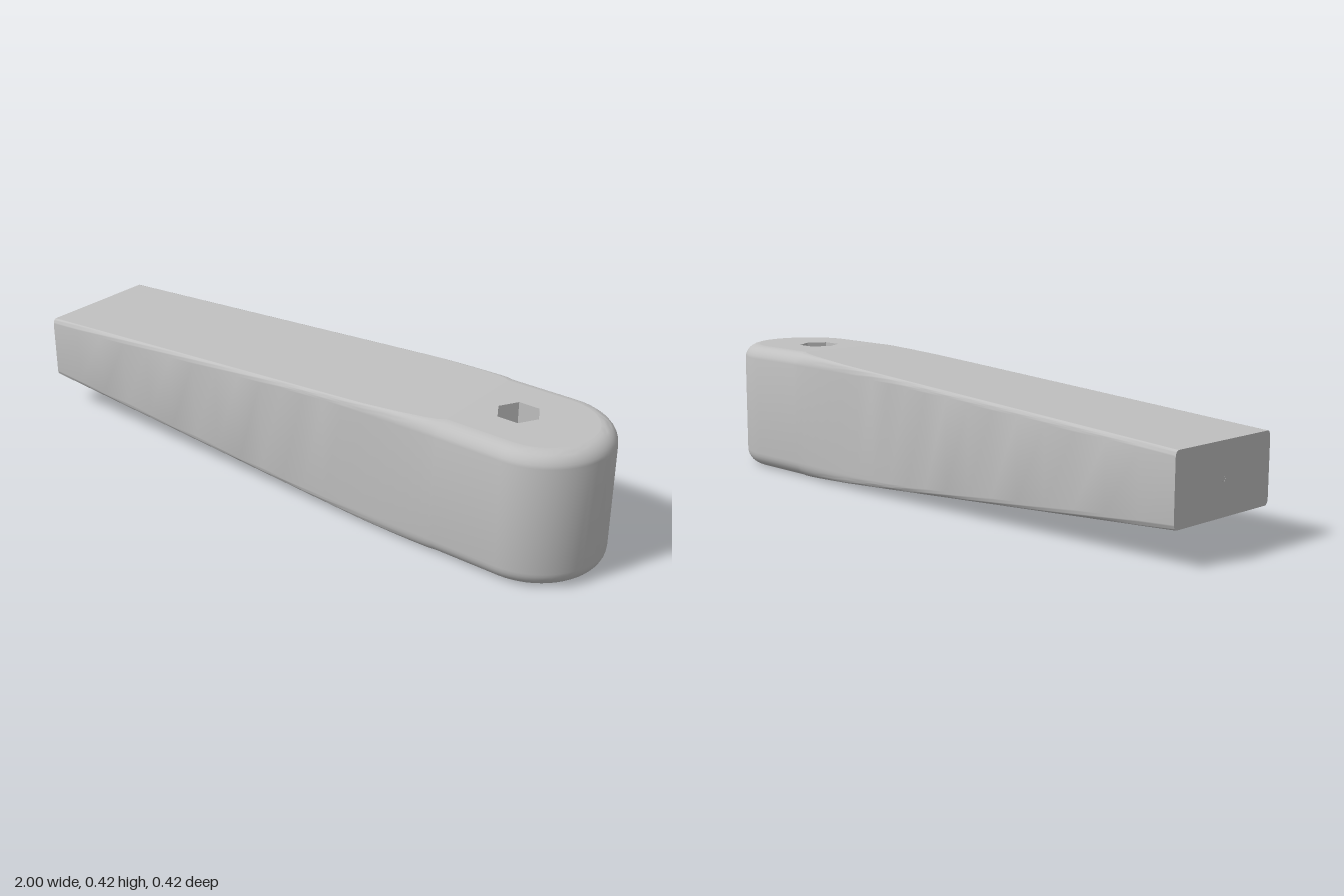
import * as THREE from 'three';
import { toCreasedNormals } from 'three/addons/utils/BufferGeometryUtils.js';

const HALF = 0.21;      // half width and half height of the thick end
const FILLET = 0.05;
const FLAT_X = 0.58;    // the taper runs from here to x = -1
const ROUND_X = HALF;   // radius of the rounded end
const HOLE_X = 0.713, HEX_R = 0.066, BORE_R = 0.13, BORE_DEPTH = 0.08;
const STEPS = 20, ARC = 28, EDGE = 8;

const halfHeight = (x) => HALF - 0.105 * Math.max(0, (FLAT_X - x) / (1 + FLAT_X));

// Plan outline: front side, rounded end, back side
function outline() {
  const side = [];
  for (let i = 0; i <= STEPS; i++) {
    const t = i / STEPS;
    side.push({ x: -1 + (1 + FLAT_X) * (1 - (1 - t) ** 1.5), z: HALF, nx: 0, nz: 1 });
  }
  const pts = [...side];
  for (let i = 0; i <= ARC; i++) {
    const a = Math.PI * (0.5 - i / ARC);
    const nx = Math.cos(a), nz = Math.sin(a);
    pts.push({ x: 1 - ROUND_X + nx * HALF, z: nz * HALF, nx, nz });
  }
  for (const p of side.reverse()) pts.push({ x: p.x, z: -p.z, nx: 0, nz: -1 });
  return pts;
}

// Vertical run of points over one outline point, with rounded edges that the taper cuts away
function column(p) {
  const h = halfHeight(p.x);
  const s = Math.min(1, Math.max(0, (h - HALF + FILLET) / FILLET));
  const inset = Math.max(0.012, FILLET * (1 - Math.sqrt(1 - s * s)));
  const rise = Math.max(0.02, h - HALF + FILLET);
  const half = [];
  for (let j = 0; j <= EDGE; j++) {
    const u = (j / EDGE) * Math.PI / 2;
    const d = inset * (1 - Math.cos(u));
    half.push([p.x - p.nx * d, h - rise + rise * Math.sin(u), p.z - p.nz * d]);
  }
  const lower = half.map(([x, y, z]) => [x, HALF - y, z]).reverse();
  return [...lower, ...half.map(([x, y, z]) => [x, HALF + y, z])];
}

function fromTriangles(list) {
  const g = new THREE.BufferGeometry();
  g.setAttribute('position', new THREE.Float32BufferAttribute(list.flat(), 3));
  g.computeVertexNormals();
  return g;
}

const quad = (a, b, c, d) => [a, b, c, a, c, d];

function shapeWithHole(points, hole) {
  const shape = new THREE.Shape(points);
  shape.holes.push(new THREE.Path(hole));
  return new THREE.ShapeGeometry(shape);
}

function circle(cx, cy, r, n) {
  return Array.from({ length: n }, (_, i) => {
    const a = (i / n) * Math.PI * 2;
    return new THREE.Vector2(cx + r * Math.cos(a), cy + r * Math.sin(a));
  });
}

export function createModel() {
  const group = new THREE.Group();
  const grey = new THREE.MeshStandardMaterial({ color: 0xc0c0c0, side: THREE.DoubleSide });
  grey.name = 'grey';
  const add = (name, geometry) => {
    const mesh = new THREE.Mesh(geometry, grey);
    mesh.name = name;
    group.add(mesh);
    return mesh;
  };

  const cols = outline().map(column);
  const last = cols.length - 1;
  const top = cols[0].length - 1;

  // Side wall with rounded upper and lower edges
  const wall = [];
  for (let i = 0; i < last; i++) {
    for (let j = 0; j < top; j++) {
      wall.push(...quad(cols[i][j], cols[i + 1][j], cols[i + 1][j + 1], cols[i][j + 1]));
    }
  }
  add('sideWall', toCreasedNormals(fromTriangles(wall), 0.6));

  // Sloping faces of the taper
  const upper = [], under = [];
  for (let i = 0; i < STEPS; i++) {
    const a = cols[i], b = cols[i + 1], c = cols[last - i - 1], d = cols[last - i];
    upper.push(...quad(a[top], b[top], c[top], d[top]));
    under.push(...quad(d[0], c[0], b[0], a[0]));
  }
  add('taperTop', fromTriangles(upper));
  add('taperBottom', fromTriangles(under));

  // Level faces around the two ends of the hole
  const plan = cols.slice(STEPS, last - STEPS + 1).map((c) => new THREE.Vector2(c[top][0], c[top][2]));
  const hex = circle(HOLE_X, 0, HEX_R, 6);
  const bore = circle(HOLE_X, 0, BORE_R, 40);
  add('topFace', shapeWithHole(plan, hex).rotateX(-Math.PI / 2)).position.y = 2 * HALF;
  add('bottomFace', shapeWithHole(plan, bore).rotateX(Math.PI / 2));

  // Hexagonal hole opening into a shallow round counterbore
  const hexDepth = 2 * HALF - BORE_DEPTH;
  const hexWall = new THREE.CylinderGeometry(HEX_R, HEX_R, hexDepth, 6, 1, true, Math.PI / 2);
  add('hexHole', toCreasedNormals(hexWall, 0.3)).position.set(HOLE_X, BORE_DEPTH + hexDepth / 2, 0);
  add('counterbore', new THREE.CylinderGeometry(BORE_R, BORE_R, BORE_DEPTH, 40, 1, true))
    .position.set(HOLE_X, BORE_DEPTH / 2, 0);
  add('counterboreLedge', shapeWithHole(bore, hex).rotateX(Math.PI / 2)).position.y = BORE_DEPTH;

  // Flat narrow end with a tiny pin hole
  const section = [...cols[0], ...[...cols[last]].reverse()].map((p) => new THREE.Vector2(p[2], p[1]));
  add('narrowEnd', shapeWithHole(section, circle(0, HALF, 0.008, 6)).rotateY(-Math.PI / 2)).position.x = -1;
  add('pinHole', new THREE.CylinderGeometry(0.008, 0.008, 0.04, 6, 1, false, Math.PI / 2).rotateZ(Math.PI / 2))
    .position.set(-0.979, HALF, 0);

  return group;
}
